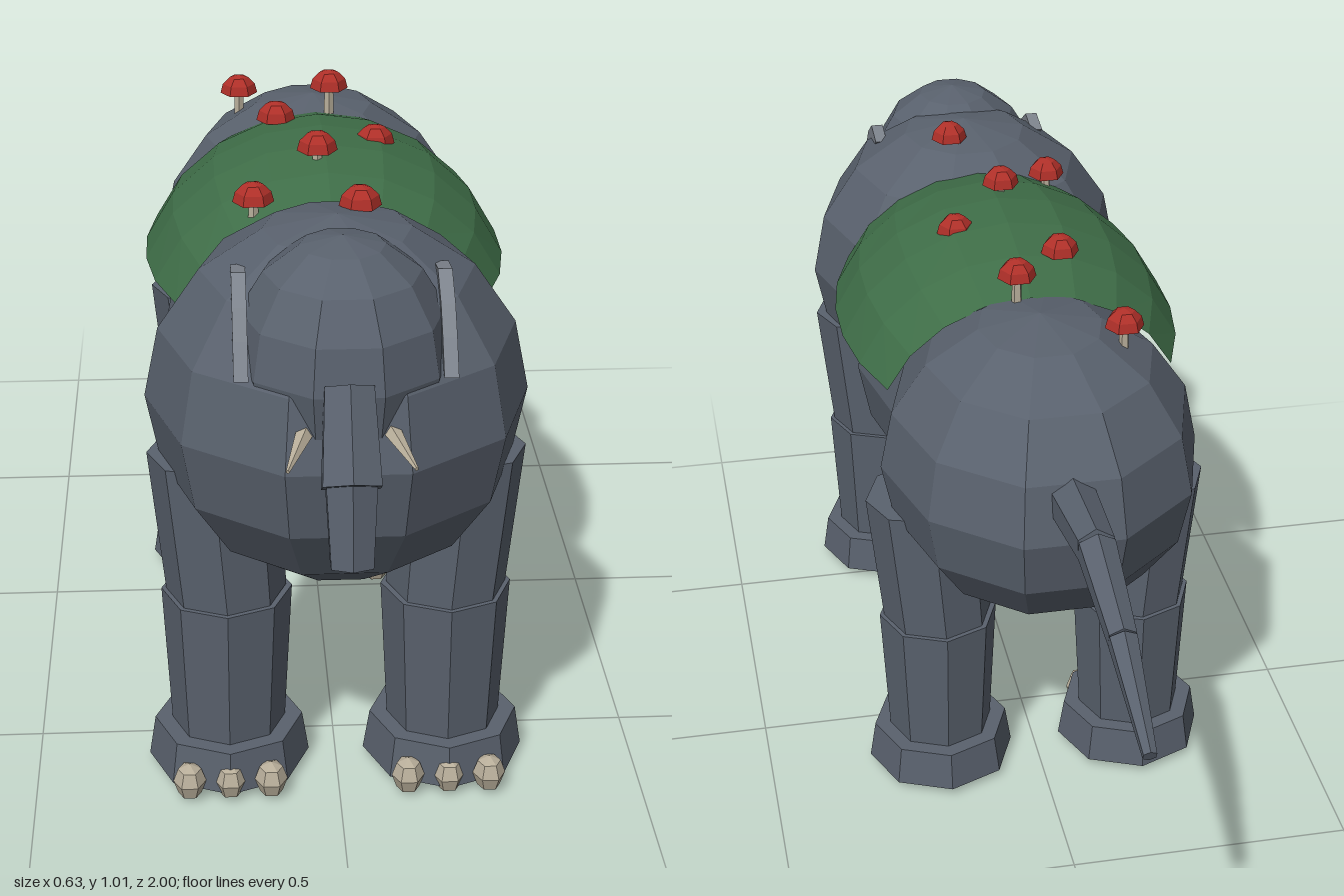
import * as THREE from 'three';

export function createModel() {
  const model = new THREE.Group();
  model.name = 'elephant';

  const mat = (name, color, side = THREE.FrontSide) => {
    const m = new THREE.MeshStandardMaterial({ color, flatShading: true, side });
    m.name = name;
    return m;
  };
  const hide = mat('slate hide', 0x59616d);
  const earGrey = mat('ear grey', 0x7d838c);
  const moss = mat('moss green', 0x3f6e48, THREE.DoubleSide);
  const capRed = mat('mushroom red', 0xb03029, THREE.DoubleSide);
  const ivory = mat('ivory', 0xb8ae9a);

  const add = (name, geo, material, parent = model) => {
    const mesh = new THREE.Mesh(geo, material);
    mesh.name = name;
    parent.add(mesh);
    return mesh;
  };

  // Faceted ellipsoid
  const blob = (name, pos, radii, material = hide, parent = model, cols = 10, rows = 8) => {
    const mesh = add(name, new THREE.SphereGeometry(1, cols, rows), material, parent);
    mesh.position.set(...pos);
    mesh.scale.set(...radii);
    return mesh;
  };

  // Tapered prism from point a (radius ra) to point b (radius rb)
  const limb = (name, a, b, ra, rb, sides, material = hide, parent = model) => {
    const from = new THREE.Vector3(...a), to = new THREE.Vector3(...b);
    const dir = to.clone().sub(from);
    const mesh = add(name, new THREE.CylinderGeometry(rb, ra, dir.length(), sides), material, parent);
    mesh.position.copy(from).add(to).multiplyScalar(0.5);
    mesh.quaternion.setFromUnitVectors(new THREE.Vector3(0, 1, 0), dir.normalize());
    return mesh;
  };

  // Body masses and head
  blob('chest', [0, 0.675, 0.585], [0.305, 0.3, 0.32]);
  blob('belly', [0, 0.66, 0.2], [0.27, 0.273, 0.42]);
  blob('rump', [0, 0.665, -0.17], [0.28, 0.272, 0.32]);
  blob('head', [0, 0.8, 0.72], [0.17, 0.19, 0.18]);

  // Trunk
  limb('trunkUpper', [0, 0.81, 0.875], [0, 0.685, 0.95], 0.042, 0.05, 6);
  limb('trunkLower', [0, 0.7, 0.935], [0, 0.565, 0.965], 0.044, 0.036, 6);

  // Tail
  const tail = [[0, 0.73, -0.42], [0, 0.755, -0.625], [0, 0.71, -0.81], [0, 0.63, -0.995]];
  const tailR = [0.044, 0.034, 0.025, 0.012];
  for (let i = 0; i < 3; i++) {
    limb('tailSegment', tail[i], tail[i + 1], tailR[i], tailR[i + 1], 6);
  }

  // Ears: thin crescents, drawn with z across and y up
  const earShape = new THREE.Shape([
    [0.825, 0.8], [0.79, 0.85], [0.755, 0.89], [0.7, 0.925], [0.64, 0.915],
    [0.675, 0.89], [0.72, 0.86], [0.775, 0.82],
  ].map(([z, y]) => new THREE.Vector2(z, y)));
  const earGeo = new THREE.ExtrudeGeometry(earShape, { depth: 0.022, bevelEnabled: false });
  earGeo.rotateY(-Math.PI / 2).translate(0.011, 0, 0);

  for (const s of [1, -1]) {
    add(s > 0 ? 'leftEar' : 'rightEar', earGeo, earGrey).position.x = s * 0.156;
    limb('tusk', [s * 0.062, 0.737, 0.86], [s * 0.093, 0.718, 0.96], 0.015, 0.003, 5, ivory);

    // Legs with feet and toenails
    for (const [label, z] of [['front', 0.59], ['rear', -0.135]]) {
      const leg = new THREE.Group();
      leg.name = label + (s > 0 ? 'LeftLeg' : 'RightLeg');
      leg.position.z = z;
      model.add(leg);
      limb('upperLeg', [s * 0.18, 0.325, 0], [s * 0.2, 0.585, 0], 0.098, 0.105, 8, hide, leg);
      limb('lowerLeg', [s * 0.18, 0.08, 0], [s * 0.18, 0.33, 0], 0.094, 0.107, 8, hide, leg);
      limb('foot', [s * 0.18, 0.015, 0], [s * 0.18, 0.085, 0], 0.134, 0.123, 8, hide, leg);
      for (const t of [-1, 0, 1]) {
        blob('toenail', [s * 0.18 + t * 0.067, 0.032, 0.115], [0.027, 0.032, 0.03], ivory, leg, 6, 4);
      }
    }
  }

  // Moss blanket: open shell arched over the back, rows along z
  const rows = 5, cols = 8, cy = 0.67;
  const moss3 = new THREE.PlaneGeometry(1, 1, cols, rows);
  const p = moss3.attributes.position;
  for (let i = 0; i < p.count; i++) {
    const z = 0.175 - p.getY(i) * 0.53;
    const k = Math.sqrt(1 - ((z - 0.175) / 0.5) ** 2);
    const low = Math.asin(0.1 / (0.3 * k));
    const a = Math.PI / 2 - p.getX(i) * (Math.PI - 2 * low);
    p.setXYZ(i, 0.325 * k * Math.cos(a), cy + 0.3 * k * Math.sin(a), z);
  }
  moss3.computeVertexNormals();
  add('mossBlanket', moss3, moss);

  // Mushrooms: x, cap top y, z
  const mushrooms = [
    [-0.135, 0.96, -0.22], [0.025, 1.005, -0.093], [-0.075, 0.985, 0.027], [0.09, 0.98, 0.152],
    [-0.015, 1.01, 0.275], [-0.125, 0.965, 0.397], [0.04, 1.0, 0.52],
  ];
  const capGeo = new THREE.SphereGeometry(0.034, 6, 3, 0, Math.PI * 2, 0, Math.PI / 2);
  const underGeo = new THREE.CircleGeometry(0.034, 6).rotateX(Math.PI / 2);
  for (const [x, y, z] of mushrooms) {
    const shroom = new THREE.Group();
    shroom.name = 'mushroom';
    shroom.position.set(x, y - 0.036, z);
    model.add(shroom);
    add('cap', capGeo, capRed, shroom);
    add('capUnderside', underGeo, capRed, shroom);
    limb('stem', [0, -0.07, 0], [0, 0.005, 0], 0.01, 0.008, 5, ivory, shroom);
  }
  return model;
}
